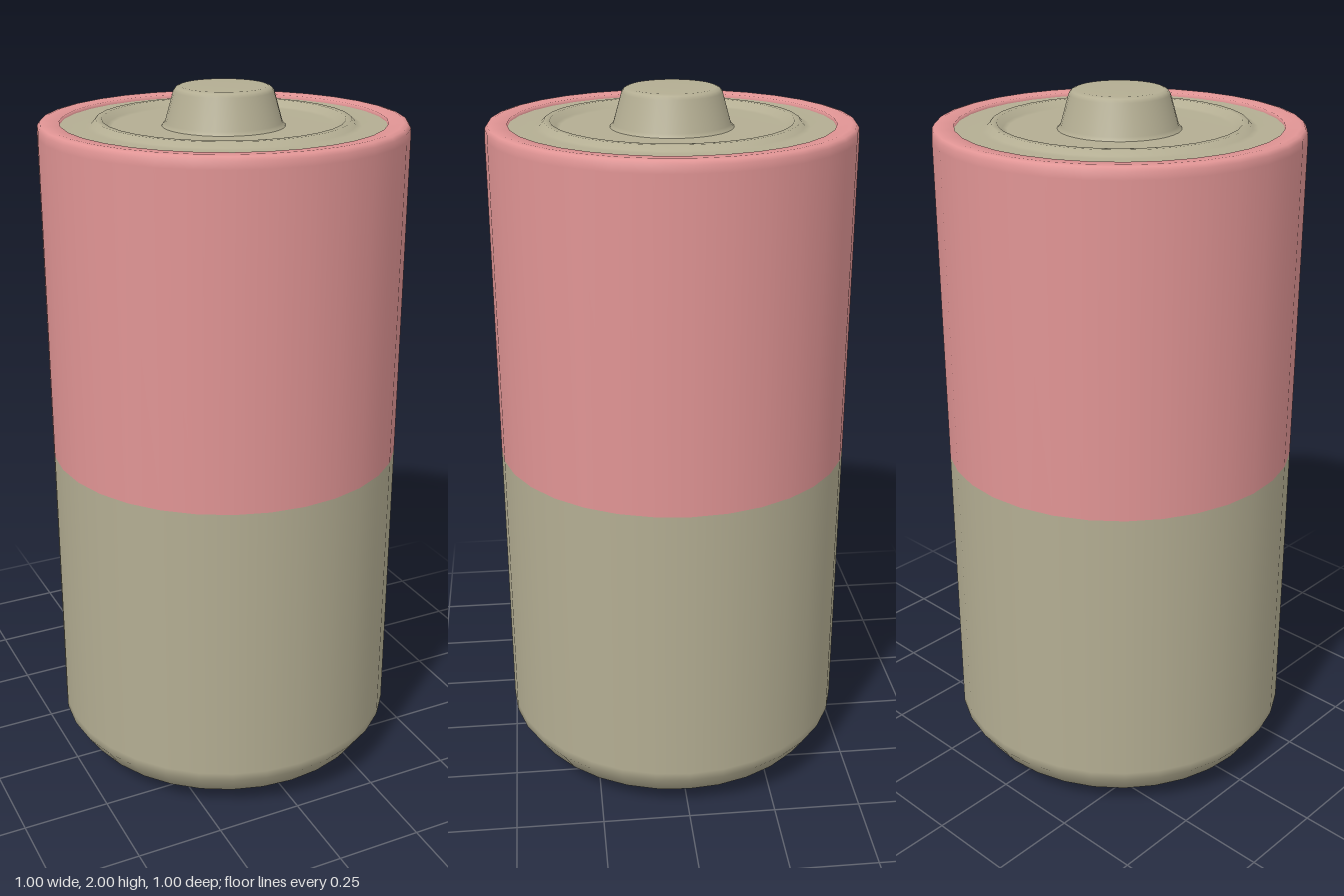
import * as THREE from 'three';

const SIDES = 32;

// Revolve a bottom-to-top [radius, height] profile around the y axis
function turned(name, color, profile) {
  const points = profile.map(([r, y]) => new THREE.Vector2(r, y));
  const mesh = new THREE.Mesh(
    new THREE.LatheGeometry(points, SIDES),
    new THREE.MeshStandardMaterial({ color, side: THREE.DoubleSide })
  );
  mesh.name = name;
  return mesh;
}

export function createModel() {
  const group = new THREE.Group();
  group.name = 'battery';
  const metal = 0xb3ad92;
  const pink = 0xe09494;

  // Lower casing with a chamfered edge and slightly domed base
  group.add(turned('lowerCasing', metal, [
    [0, 0], [0.16, 0.01], [0.32, 0.03], [0.46, 0.065],
    [0.5, 0.125], [0.5, 0.15], [0.5, 0.975],
  ]));

  // Upper wrap folding over the top rim
  group.add(turned('upperWrap', pink, [
    [0.5, 0.975], [0.5, 1.88], [0.499, 1.9], [0.492, 1.91],
    [0.48, 1.913], [0.44, 1.91], [0.44, 1.897],
  ]));

  // Top plate with a raised ring
  group.add(turned('topPlate', metal, [
    [0.442, 1.9], [0.37, 1.9], [0.355, 1.903], [0.343, 1.916],
    [0.327, 1.916], [0.312, 1.899], [0.3, 1.896], [0.15, 1.896],
  ]));

  // Contact button with tapered sides
  group.add(turned('contactButton', metal, [
    [0.167, 1.896], [0.158, 1.906], [0.135, 1.987],
    [0.128, 1.996], [0.118, 2], [0, 2],
  ]));

  return group;
}
